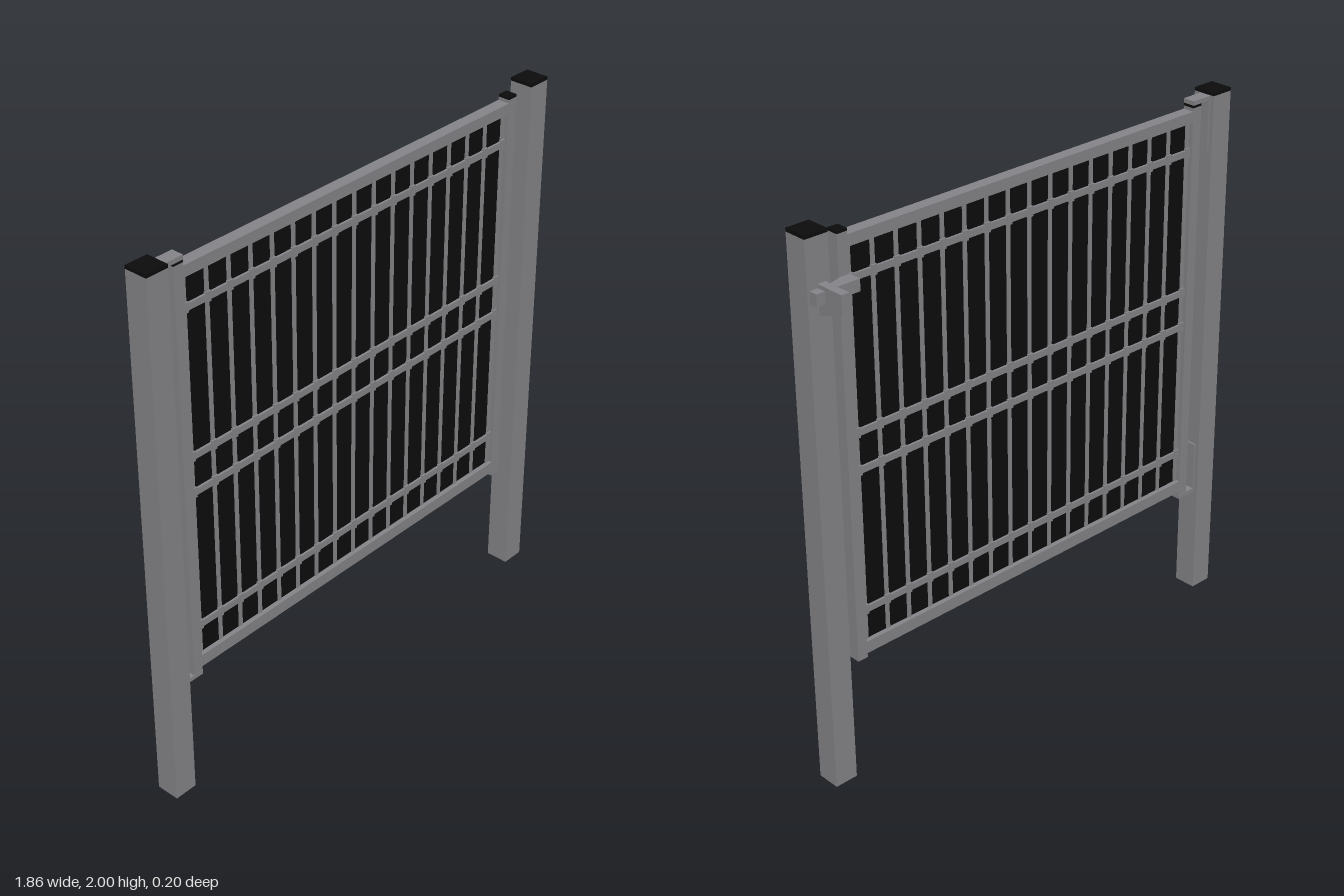
import * as THREE from 'three';

const grey = new THREE.MeshStandardMaterial({ color: 0x86868a });
grey.name = 'grey metal';
const black = new THREE.MeshStandardMaterial({ color: 0x0c0c0c });
black.name = 'black plastic';

export function createModel() {
  const gate = new THREE.Group();
  gate.name = 'gate';

  const add = (name, geometry, material = grey) => {
    const mesh = new THREE.Mesh(geometry, material);
    mesh.name = name;
    gate.add(mesh);
    return mesh;
  };
  // Box given by its extents on each axis
  const box = (name, [x0, x1], [y0, y1], [z0, z1], material) => {
    const g = new THREE.BoxGeometry(x1 - x0, y1 - y0, z1 - z0);
    g.translate((x0 + x1) / 2, (y0 + y1) / 2, (z0 + z1) / 2);
    return add(name, g, material);
  };
  const polygon = (points) => new THREE.Shape(points.map(([x, y]) => new THREE.Vector2(x, y)));
  const square = (r) => [[-r, -r], [r, -r], [r, r], [-r, r]];
  const extrude = (shape, depth) =>
    new THREE.ExtrudeGeometry(shape, { depth, bevelEnabled: false });

  // Hollow posts with flat black caps
  const postR = 0.0435, postZ = 0.056;
  for (const side of [-1, 1]) {
    const section = polygon(square(postR));
    section.holes.push(polygon(square(postR - 0.004)));
    const post = extrude(section, 1.988);
    post.rotateX(-Math.PI / 2);
    post.translate(side * 0.8845, 0, postZ);
    add('post', post);
    box('postCap', [side * 0.8845 - postR, side * 0.8845 + postR], [1.988, 2],
      [postZ - postR, postZ + postR], black);
  }

  // Gate frame
  const frameZ = [0.028, 0.072];
  for (const side of [-1, 1]) {
    const x = side * 0.777;
    box('stile', [x - 0.02, x + 0.02], [0.438, 1.962], frameZ);
    box('stileCap', [x - 0.02, x + 0.02], [1.962, 1.971], frameZ, black);
  }
  box('topRail', [-0.757, 0.757], [1.91, 1.95], frameZ);
  box('bottomRail', [-0.757, 0.757], [0.453, 0.498], frameZ);

  // Black privacy slats between the upright wires
  const pitch = 0.0933, z = 0.05;
  for (let i = 0; i < 16; i++) {
    const x = (i - 7.5) * pitch;
    box('slat', [x - 0.04, x + 0.04], [0.498, 1.91], [z - 0.004, z + 0.004], black);
  }

  // Wire mesh: uprights, cross wires and the thicker joints
  const crossHeights = [0.615, 1.137, 1.272, 1.8];
  for (let i = -8; i <= 8; i++) {
    const x = i * pitch;
    box('uprightWire', [x - 0.008, x + 0.008], [0.498, 1.91], [z - 0.008, z + 0.008]);
    for (const y of crossHeights) {
      box('wireJoint', [x - 0.011, x + 0.011], [y - 0.018, y + 0.018], [z - 0.014, z + 0.014]);
    }
  }
  for (const y of crossHeights) {
    box('crossWire', [-0.757, 0.757], [y - 0.012, y + 0.012], [z - 0.013, z + 0.013]);
  }

  // Angle hinges on the right post
  const hingeZ = [0.027, 0.073];
  box('upperHingeLeaf', [-0.842, -0.833], [1.79, 1.985], hingeZ);
  box('upperHingeArm', [-0.842, -0.757], [1.971, 1.987], hingeZ);
  box('lowerHingeLeaf', [-0.842, -0.833], [0.424, 0.625], hingeZ);
  box('lowerHingeArm', [-0.842, -0.757], [0.422, 0.438], hingeZ);

  // Latch bar behind the left post, plan outline as (x, -z)
  const bar = extrude(polygon([
    [0.755, -0.028], [0.79, -0.028], [0.845, -0.012], [0.92, -0.012], [0.92, 0.02], [0.755, 0.02],
  ]), 0.042);
  bar.rotateX(-Math.PI / 2);
  bar.translate(0, 1.781, 0);
  add('latchBar', bar);

  // Tapered latch handle, side outline as (z, y)
  const handle = extrude(polygon([
    [-0.097, 1.768], [0.0125, 1.733], [0.0125, 1.836], [-0.097, 1.836],
  ]), 0.03);
  handle.rotateY(-Math.PI / 2);
  handle.translate(0.888, 0, 0);
  add('latchHandle', handle);

  return gate;
}
